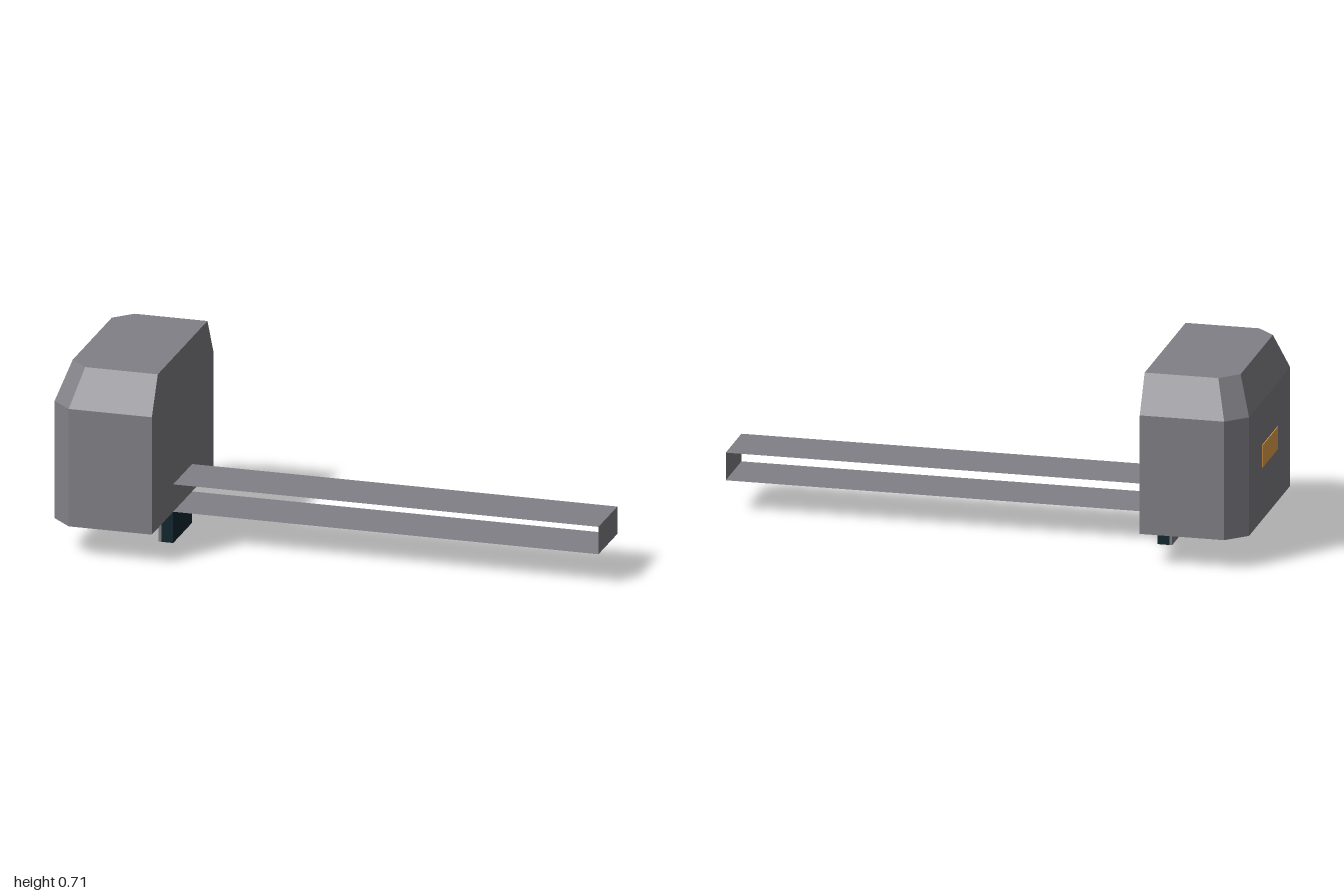
import * as THREE from 'three';

export function createModel() {
  const model = new THREE.Group();
  const mat = (name, color, side = THREE.FrontSide) => {
    const m = new THREE.MeshStandardMaterial({ color, side, flatShading: true });
    m.name = name;
    return m;
  };
  const grey = mat('grey metal', 0x808086, THREE.DoubleSide);
  const dark = mat('dark navy', 0x10262f);
  const amber = mat('amber', 0xe6a24a);

  const add = (name, geometry, material, parent = model) => {
    const mesh = new THREE.Mesh(geometry, material);
    mesh.name = name;
    parent.add(mesh);
    return mesh;
  };
  // Box given by its minimum and maximum corners
  const block = (name, a, b, material, parent) => {
    const size = a.map((v, i) => b[i] - v);
    const mesh = add(name, new THREE.BoxGeometry(...size), material, parent);
    mesh.position.set(...a.map((v, i) => (v + b[i]) / 2));
    return mesh;
  };

  // Housing outline with bevelled outer corners, counterclockwise from above
  const section = (y, z, zIn, x, xIn) => [
    [-0.61, z], [-0.61, -z], [xIn, -z], [x, -zIn], [x, zIn], [xIn, z],
  ].map(([px, pz]) => [px, y, pz]);
  const wide = (y) => section(y, 0.382, 0.31, -1, -0.925);
  const rings = [wide(0.12), wide(0.57), section(0.71, 0.308, 0.243, -0.952, -0.885)];

  const points = [];
  for (let r = 0; r < 2; r++) {
    for (let i = 0; i < 6; i++) {
      const j = (i + 1) % 6;
      const [a, b, c, d] = [rings[r][i], rings[r][j], rings[r + 1][j], rings[r + 1][i]];
      points.push(...a, ...b, ...c, ...a, ...c, ...d);
    }
  }
  // Roof, and a floor recessed inside the lower rim
  const floor = wide(0.18);
  for (let i = 1; i < 5; i++) {
    points.push(...rings[2][0], ...rings[2][i], ...rings[2][i + 1]);
    points.push(...floor[0], ...floor[i + 1], ...floor[i]);
  }
  const shell = new THREE.BufferGeometry();
  shell.setAttribute('position', new THREE.Float32BufferAttribute(points, 3));
  shell.computeVertexNormals();
  add('housing', shell, grey);

  // Arm: thin top and bottom sheets with an end cap, open along both sides
  const arm = new THREE.Group();
  arm.name = 'arm';
  model.add(arm);
  const length = 1.61, width = 0.235, low = 0.12, high = 0.225;
  for (const [name, y, turn] of [['armTop', high, -1], ['armBottom', low, 1]]) {
    const sheet = add(name, new THREE.PlaneGeometry(length, width), grey, arm);
    sheet.rotation.x = turn * Math.PI / 2;
    sheet.position.set(1 - length / 2, y, 0);
  }
  const cap = add('armEnd', new THREE.PlaneGeometry(width, high - low), grey, arm);
  cap.rotation.y = Math.PI / 2;
  cap.position.set(1, (low + high) / 2, 0);

  // Bracket under the housing
  const bracket = new THREE.Group();
  bracket.name = 'bracket';
  model.add(bracket);
  block('bracketPlate', [-0.655, 0, -0.117], [-0.61, 0.119, 0.117], dark, bracket);
  block('bracketBacking', [-0.665, 0, -0.117], [-0.655, 0.18, 0.117], grey, bracket);
  block('bracketFoot', [-0.73, 0.1, -0.06], [-0.665, 0.18, 0.06], dark, bracket);

  // Indicator on the outer end
  block('indicatorPanel', [-1.003, 0.32, -0.117], [-0.998, 0.405, 0.117], amber);

  return model;
}
